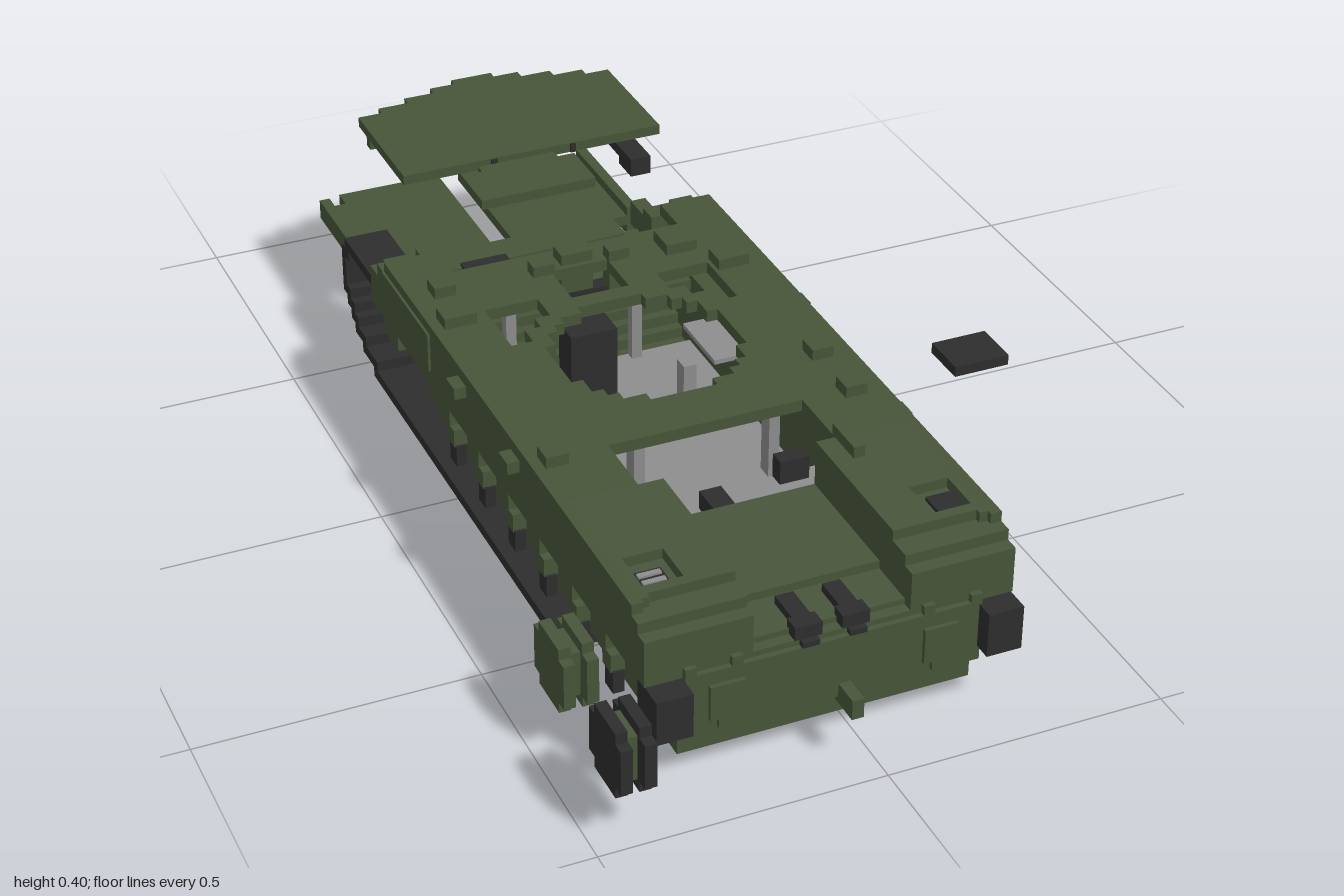
import * as THREE from 'three';
import { mergeGeometries } from 'three/addons/utils/BufferGeometryUtils.js';

const V = 0.0205; // size of one block
const mat = (name, color) => new THREE.MeshStandardMaterial({ name, color });

export function createModel() {
  const green = mat('olive green', 0x48553a);
  const dark = mat('charcoal', 0x2e2e2f);
  const gray = mat('interior gray', 0x8e8e8e);
  const root = new THREE.Group();
  root.name = 'armoredVehicleWreck';
  const cx = -0.0525; // centre line of the hull

  const geo = ([x0, x1, y0, y1, z0, z1]) =>
    new THREE.BoxGeometry(x1 - x0, y1 - y0, z1 - z0).translate((x0 + x1) / 2, (y0 + y1) / 2, (z0 + z1) / 2);
  const add = (name, m, g) => {
    const mesh = new THREE.Mesh(g, m);
    mesh.name = name;
    root.add(mesh);
  };
  const boxes = (name, m, ...list) => add(name, m, mergeGeometries(list.map(geo)));
  const mirror = (b) => [2 * cx - b[1], 2 * cx - b[0], ...b.slice(2)];
  const pair = (name, m, ...list) => boxes(name, m, ...list, ...list.map(mirror));
  const shape = (pts) => new THREE.Shape(pts.map(([a, b]) => new THREE.Vector2(a, b)));
  const rectPts = (x0, x1, z0, z1) => [[x0, z0], [x1, z0], [x1, z1], [x0, z1]];
  const extrude = (s, depth) => new THREE.ExtrudeGeometry(s, { depth, bevelEnabled: false });
  // horizontal plate from an x/z outline, its top at y
  const plate = (s, y, t) => extrude(s, t).rotateX(Math.PI / 2).translate(0, y, 0);
  // upright slab from a z/y profile, running from x1 toward -x
  const slab = (pts, x1, t) => extrude(shape(pts), t).rotateY(-Math.PI / 2).translate(x1, 0, 0);
  // circle made of square steps
  const steppedCircle = (x, z, r) => {
    const n = Math.round(r / V), pts = [];
    const half = (i) => Math.round(Math.sqrt(n * n - (i + 0.5) ** 2)) * V;
    const row = (i) => half(i < 0 ? -i - 1 : i);
    for (let i = -n; i < n; i++) pts.push([x + row(i), z + i * V], [x + row(i), z + (i + 1) * V]);
    for (let i = n - 1; i >= -n; i--) pts.push([x - row(i), z + (i + 1) * V], [x - row(i), z + i * V]);
    return pts;
  };

  // Lower hull: belly, side walls and the stepped tail
  boxes('belly', green, [-0.31, 0.21, 0.045, 0.065, -0.24, 0.87]);
  const tail = [], steps = [];
  for (let i = 0; i < 8; i++) {
    const z = -0.24 - i * 0.0195, y = 0.045 + i * V;
    tail.push([z, y + 0.01], [z - 0.0195, y + 0.01]);
    steps.push([-0.29, 0.19, y, y + 0.03, z - 0.0195, z + 0.02]);
  }
  const lower = [[0.87, 0.045], [-0.24, 0.045], ...tail, [-0.396, 0.23], [0.9, 0.23], [0.9, 0.1], [0.87, 0.1]];
  for (const x of [-0.29, 0.21]) add('lowerSideWall', green, slab(lower, x, 0.02));
  boxes('tailSteps', green, ...steps);

  // Upper side walls and sponson floors
  const upper = [[0.89, 0.21], [0.89, 0.295], [0.865, 0.295], [0.865, 0.315], [0.84, 0.315], [0.84, 0.334],
    [-0.3, 0.334], [-0.3, 0.31], [-0.34, 0.31], [-0.34, 0.285], [-0.38, 0.285], [-0.38, 0.21]];
  for (const x of [-0.355, 0.27]) add('upperSideWall', green, slab(upper, x, 0.02));
  pair('sponsonFloor', green, [0.19, 0.255, 0.21, 0.23, -0.38, 0.88]);
  pair('sponsonBack', green, [0.17, 0.255, 0.22, 0.285, -0.38, -0.34], [0.21, 0.255, 0.28, 0.31, -0.35, -0.3]);

  // Nose block, sloped centre deck and raised front shoulders
  boxes('nose', green, [-0.29, 0.19, 0.1, 0.215, 0.56, 0.9], [-0.29, 0.19, 0.055, 0.1, 0.6, 0.87],
    [-0.36, 0.255, 0.21, 0.225, 0.54, 0.89]);
  boxes('centreDeck', green, [-0.19, 0.085, 0.21, 0.25, 0.54, 0.78], [-0.19, 0.085, 0.21, 0.235, 0.78, 0.87]);
  const shoulder = (x0, x1) => [[x0, x1, 0.22, 0.295, 0.54, 0.89], [x0, x1, 0.295, 0.315, 0.54, 0.865],
    [x0, x1, 0.315, 0.334, 0.54, 0.72]];
  boxes('frontShoulders', green, ...shoulder(-0.36, -0.19), ...shoulder(0.085, 0.255));
  pair('shoulderRims', green, [0.085, 0.165, 0.315, 0.334, 0.72, 0.82], [0.235, 0.255, 0.315, 0.334, 0.72, 0.83],
    [0.165, 0.235, 0.315, 0.334, 0.80, 0.82]);
  boxes('leftLampWell', dark, [0.185, 0.235, 0.31, 0.322, 0.74, 0.795]);
  boxes('rightLampWell', dark, [-0.335, -0.285, 0.31, 0.319, 0.745, 0.8]);
  boxes('rightLampLens', gray, [-0.33, -0.29, 0.315, 0.323, 0.753, 0.763], [-0.33, -0.29, 0.315, 0.323, 0.773, 0.783]);

  // Roof with turret ring and broken openings
  const roof = shape(rectPts(-0.374, 0.269, -0.22, 0.415));
  const holes = [steppedCircle(cx, 0.149, 0.164), rectPts(-0.11, 0, -0.15, -0.05)];
  for (const s of [-1, 1]) {
    holes.push([[0.215, -0.07], [0.215, 0.06], [0.175, 0.06], [0.175, 0.02], [0.145, 0.02], [0.145, -0.01],
      [0.115, -0.01], [0.115, -0.07]].map(([x, z]) => [cx + s * x, z]));
  }
  for (const h of holes) roof.holes.push(new THREE.Path(h.map(([x, z]) => new THREE.Vector2(x, z))));
  add('roof', green, plate(roof, 0.334, 0.022));
  boxes('roofSides', green, [-0.36, -0.235, 0.312, 0.334, 0.41, 0.545], [0.12, 0.255, 0.312, 0.334, 0.41, 0.545],
    [-0.36, -0.27, 0.312, 0.334, -0.3, -0.215], [0.17, 0.255, 0.312, 0.334, -0.3, -0.215]);
  boxes('hatchRims', green, [-0.147, -0.106, 0.275, 0.355, -0.17, -0.14], [0, 0.04, 0.275, 0.355, -0.17, -0.14],
    [-0.085, -0.024, 0.275, 0.355, -0.2, -0.16]);
  boxes('roofLumps', green, [0.105, 0.165, 0.33, 0.355, -0.18, -0.12], [0.17, 0.23, 0.33, 0.355, -0.08, -0.035],
    [0.19, 0.23, 0.33, 0.355, 0.27, 0.31], [0.19, 0.23, 0.33, 0.355, 0.4, 0.44], [0.12, 0.14, 0.33, 0.355, 0.53, 0.61],
    [-0.355, -0.295, 0.33, 0.355, -0.08, -0.035], [-0.335, -0.295, 0.33, 0.355, -0.18, -0.14],
    [-0.355, -0.315, 0.33, 0.355, 0.4, 0.44]);
  boxes('sideLugs', green, [0.265, 0.289, 0.29, 0.312, 0.06, 0.1], [0.265, 0.289, 0.29, 0.312, 0.455, 0.495],
    [-0.397, -0.37, 0.29, 0.312, 0.08, 0.12], [-0.397, -0.37, 0.29, 0.312, 0.33, 0.37]);
  pair('sideHatchFrame', green, [0.265, 0.275, 0.24, 0.315, -0.3, -0.06]);

  // Interior
  boxes('interiorFloor', gray, [-0.288, 0.188, 0.067, 0.09, -0.2, 0.56]);
  boxes('driverPlatform', gray, [-0.288, 0.188, 0.09, 0.19, 0.41, 0.56]);
  pair('sponsonLining', gray, [0.12, 0.189, 0.2, 0.209, -0.08, 0.06]);
  pair('interiorPosts', gray, [0.062, 0.082, 0.19, 0.312, 0.38, 0.41], [0.062, 0.082, 0.09, 0.312, -0.2, -0.18],
    [0.06, 0.085, 0.09, 0.21, 0.03, 0.06]);
  pair('driverControls', dark, [0.07, 0.125, 0.19, 0.235, 0.41, 0.44]);
  boxes('driverLever', dark, [-0.085, -0.045, 0.19, 0.225, 0.45, 0.51]);
  boxes('hatchMount', dark, [-0.1, -0.01, 0.09, 0.23, -0.14, -0.08], [-0.07, -0.045, 0.18, 0.25, -0.32, -0.2]);

  // Broken rear ledge
  boxes('rearLedge', green, [-0.29, 0.19, 0.205, 0.225, -0.41, -0.36], [-0.23, 0.13, 0.215, 0.245, -0.44, -0.37],
    [-0.27, -0.24, 0.22, 0.27, -0.43, -0.38], [0.17, 0.2, 0.22, 0.27, -0.44, -0.38],
    [-0.29, 0.19, 0.2, 0.22, -0.3, -0.2], [-0.21, -0.1, 0.22, 0.25, -0.3, -0.25]);
  boxes('rearDebris', dark, [-0.2, -0.11, 0.22, 0.25, -0.38, -0.32], [-0.25, -0.22, 0.22, 0.28, -0.29, -0.22],
    [0.1, 0.15, 0.22, 0.25, -0.3, -0.23], [-0.1, 0.08, 0.22, 0.235, -0.25, -0.22]);
  boxes('rearDebrisGray', gray, [0.04, 0.12, 0.22, 0.24, -0.36, -0.31]);

  // Nose fittings
  pair('frontPanels', green, [0.105, 0.165, 0.125, 0.19, 0.895, 0.908], [0.12, 0.15, 0.107, 0.125, 0.895, 0.908],
    [0.105, 0.125, 0.212, 0.232, 0.885, 0.9]);
  boxes('towHook', green, [-0.043, -0.022, 0.088, 0.125, 0.89, 0.95]);
  pair('driveMounts', dark, [0.205, 0.268, 0.127, 0.209, 0.86, 0.933]);
  for (const x of [-0.095, -0.012]) {
    boxes('deckLamp', dark, [x - 0.016, x + 0.016, 0.225, 0.25, 0.8, 0.862],
      [x - 0.024, x + 0.024, 0.226, 0.25, 0.862, 0.892], [x - 0.015, x + 0.015, 0.216, 0.226, 0.88, 0.903]);
  }

  // Suspension arms and return roller mounts on both flanks
  for (let i = 0; i < 6; i++) {
    const z = 0.62 - i * 0.145;
    pair('suspensionArm', green, [0.2, 0.23, 0.09, 0.135, z - 0.02, z + 0.02], [0.2, 0.23, 0.065, 0.1, z + 0.005, z + 0.04]);
    pair('armTip', dark, [0.208, 0.228, 0.026, 0.068, z + 0.012, z + 0.045]);
  }
  for (let i = 0; i < 4; i++) {
    const z = 0.54 - i * 0.145;
    pair('rollerMount', green, [0.2, 0.23, 0.15, 0.19, z - 0.02, z + 0.02]);
  }
  pair('rearDriveMount', green, [0.2, 0.25, 0.14, 0.2, -0.37, -0.3]);

  // Torn track, a stepped path of links
  const path = [[0.49, 0.01], [-0.42, 0.01], [-0.5, 0.04], [-0.575, 0.085], [-0.61, 0.12], [-0.61, 0.18], [-0.575, 0.215], [-0.3, 0.215]];
  const cells = new Map();
  for (let i = 0; i + 1 < path.length; i++) {
    for (let t = 0; t <= 1; t += 0.01) {
      const z = Math.floor((path[i][0] + (path[i + 1][0] - path[i][0]) * t) / V);
      const y = Math.floor((path[i][1] + (path[i + 1][1] - path[i][1]) * t) / V);
      cells.set(z + ',' + y, [-0.355, -0.27, y * V, (y + 1) * V, z * V, (z + 1) * V]);
    }
  }
  boxes('track', dark, ...cells.values());

  // Loose road wheels: two stepped discs on a hub
  for (const [z, m] of [[0.935, dark], [0.705, green]]) {
    for (const x of [-0.46, -0.42]) {
      boxes('looseWheelDisc', m, [x, x + V, 0.085, 0.209, z - 0.042, z + 0.042], [x, x + V, 0.105, 0.189, z - 0.063, z + 0.063]);
    }
    boxes('looseWheelHub', green, [-0.441, -0.419, 0.105, 0.189, z - 0.035, z + 0.035]);
  }

  // Loose panels
  boxes('looseHatch', dark, [0.355, 0.456, 0.379, 0.398, 0.43, 0.515]);
  const arc = [[-0.27, -0.48], [0.247, -0.48], [0.247, -0.735]];
  const edge = [[0.247, -0.735], [0.2, -0.755], [0.14, -0.775], [0.08, -0.795], [0.03, -0.812]];
  for (let i = 0; i + 1 < edge.length; i++) arc.push([edge[i + 1][0], edge[i][1]], [edge[i + 1][0], edge[i + 1][1]]);
  for (let i = edge.length - 1; i > 0; i--) arc.push([-0.023 - edge[i][0], edge[i][1]], [-0.023 - edge[i][0], edge[i - 1][1]]);
  arc.push([-0.27, -0.735]);
  add('looseRoofPanel', green, plate(shape(arc), 0.398, 0.019));
  boxes('roofPanelLegs', green, [-0.27, -0.25, 0.36, 0.382, -0.69, -0.67], [0.226, 0.247, 0.36, 0.382, -0.69, -0.67]);
  boxes('roofPanelClips', dark, [-0.097, -0.085, 0.38, 0.397, -0.49, -0.475], [0.063, 0.073, 0.38, 0.397, -0.49, -0.475]);
  boxes('looseBar', dark, [0.205, 0.246, 0.291, 0.312, -0.73, -0.52], [0.205, 0.246, 0.275, 0.292, -0.58, -0.52]);
  boxes('looseSmallPanel', green, [-0.17, 0.055, 0.379, 0.398, -0.44, -0.335], [-0.13, 0.02, 0.379, 0.398, -0.46, -0.44]);
  for (const s of [-1, 1]) {
    const flip = (b) => (s > 0 ? b : [-b[1], -b[0], ...b.slice(2)]);
    boxes('looseRearDoor', green, ...[[0.022, 0.235, 0.066, 0.087, -1, -0.69], [0.235, 0.289, 0.066, 0.087, -0.96, -0.69],
      [0.268, 0.289, 0.087, 0.106, -0.96, -0.69], [0.268, 0.289, 0.045, 0.066, -0.73, -0.69]].map(flip));
  }
  return root;
}
